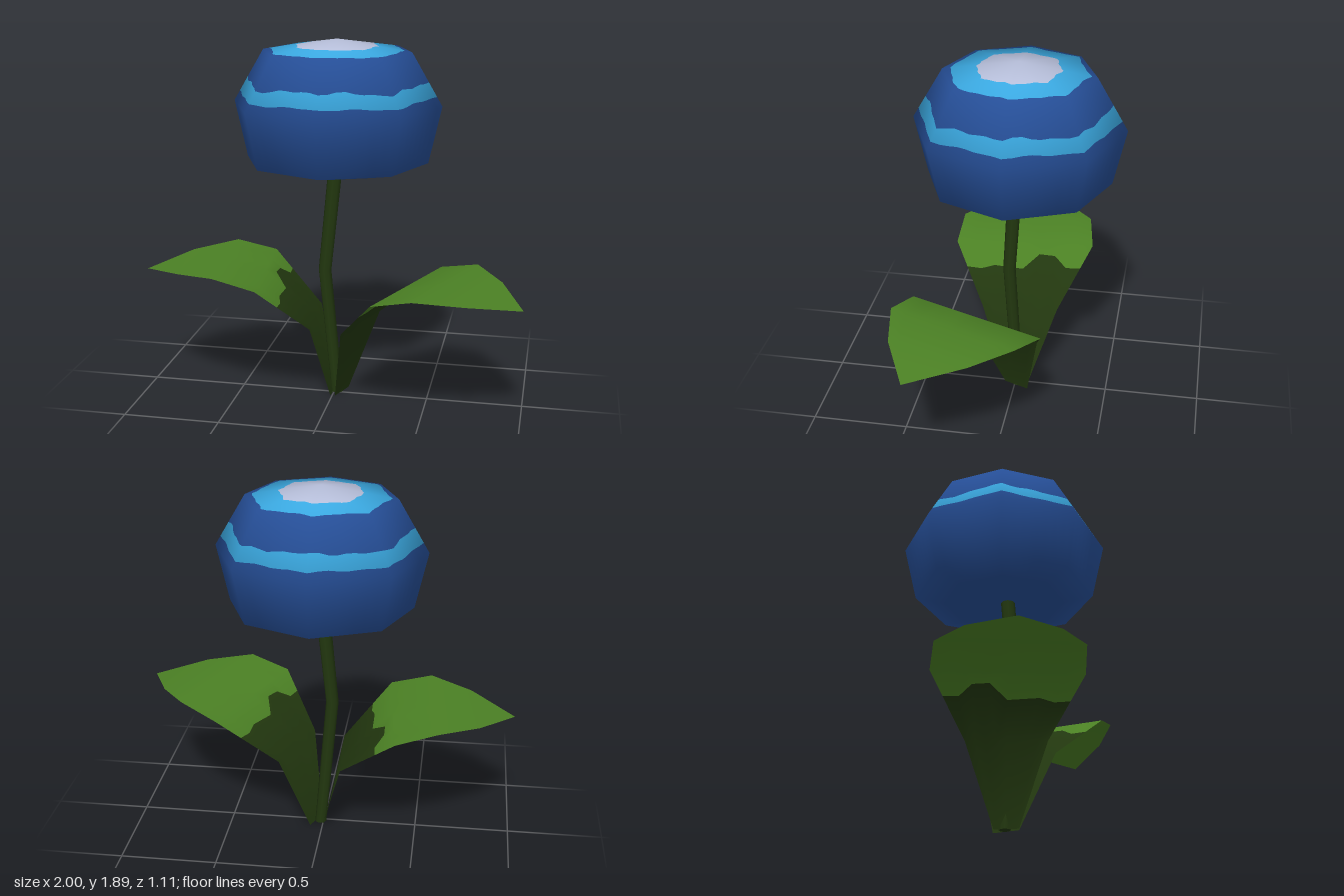
import * as THREE from 'three';

const mat = (name, color, side = THREE.FrontSide) => {
  const m = new THREE.MeshStandardMaterial({ color, side });
  m.name = name;
  return m;
};
const V = (x, y, z) => new THREE.Vector3(x, y, z);

// Eight-sided flower head; colour seams slide along the facets with a ragged wave
function makeBloom(materials) {
  const base = [[0, 1.235], [0.3, 1.235], [0.47, 1.275], [0.535, 1.565], [0.509, 1.61],
    [0.468, 1.68], [0.38, 1.83], [0.355, 1.834], [0.215, 1.856], [0, 1.89]];
  const rows = base.length, segs = 64;
  const geo = new THREE.LatheGeometry(base.map(p => new THREE.Vector2(...p)), segs);
  const pos = geo.attributes.position, nor = geo.attributes.normal;
  // seam row: lower row, upper row, fraction, ragged amount
  const seams = { 4: [3, 6, 0.17, 0.03], 5: [3, 6, 0.43, 0.06], 7: [6, 9, 0.075, 0.035], 8: [6, 9, 0.43, 0.03] };
  const wave = (a, k) => 0.5 * Math.cos(4 * a) + 0.3 * Math.sin(9 * a + k) + 0.3 * Math.sin(17 * a + 2 * k);
  const a = V(), b = V();
  for (let i = 0; i <= segs; i++) {
    const phi = (i / segs) * Math.PI * 2;
    const local = (phi % (Math.PI / 4)) - Math.PI / 8;
    const oct = Math.cos(Math.PI / 8) / Math.cos(local);
    const at = j => i * rows + j;
    nor.setXYZ(at(rows - 1), 0, 1, 0);
    for (let j = 0; j < rows; j++) pos.setXYZ(at(j), pos.getX(at(j)) * oct, pos.getY(at(j)), pos.getZ(at(j)) * oct);
    for (const [j, [lo, hi, t, rag]] of Object.entries(seams)) {
      const f = t + rag * wave(phi, +j);
      for (const attr of [pos, nor]) {
        a.fromBufferAttribute(attr, at(lo)).lerp(b.fromBufferAttribute(attr, at(hi)), f);
        if (attr === nor) a.normalize();
        attr.setXYZ(at(+j), a.x, a.y, a.z);
      }
    }
  }
  // faces regrouped ring by ring so each ring can take its own colour
  const ringColour = [0, 0, 0, 0, 1, 0, 0, 1, 2];
  const index = [];
  ringColour.forEach((colour, j) => {
    const start = index.length;
    for (let i = 0; i < segs; i++) {
      const p = i * rows + j, q = p + rows;
      index.push(p, q, p + 1, q + 1, p + 1, q);
    }
    geo.addGroup(start, index.length - start, colour);
  });
  geo.setIndex(index);
  geo.translate(0.01, 0, -0.02);
  return new THREE.Mesh(geo, materials);
}

// Curved leaf lofted between two edges, dark near the stem with a ragged seam
function makeLeaf(edges, materials) {
  const ragged = [0.6, 0.58, 0.64, 0.62, 0.6, 0.84, 0.82, 0.64, 0.64];
  const cols = ragged.length;
  const grid = edges.map(([p, q]) => ragged.map((_, c) => V(...p).lerp(V(...q), c / (cols - 1))));
  grid.splice(2, 0, ragged.map((t, c) => grid[1][c].clone().lerp(grid[2][c], t)));
  const geo = new THREE.BufferGeometry().setFromPoints(grid.flat());
  const index = [];
  for (let r = 0; r < grid.length - 1; r++) {
    for (let c = 0; c < cols - 1; c++) {
      const p = r * cols + c, q = p + cols;
      index.push(p, p + 1, q);
      if (r < grid.length - 2) index.push(p + 1, q + 1, q);
    }
  }
  geo.setIndex(index);
  const darkCount = 2 * (cols - 1) * 6;
  geo.addGroup(0, darkCount, 0);
  geo.addGroup(darkCount, index.length - darkCount, 1);
  geo.computeVertexNormals();
  // the tip's last corner belongs to no face, so it copies its neighbour
  const n = geo.attributes.normal, last = n.count - 1;
  n.setXYZ(last, n.getX(last - 1), n.getY(last - 1), n.getZ(last - 1));
  return new THREE.Mesh(geo, materials);
}

// Stem with one bend, following three centre points
function makeStem(material) {
  const centres = [V(0.015, 0, -0.015), V(-0.04, 0.7, 0.04), V(0.008, 1.25, 0)];
  const geo = new THREE.CylinderGeometry(0.037, 0.03, 2, 8, 2);
  const pos = geo.attributes.position;
  for (let i = 0; i < pos.count; i++) {
    const c = centres[Math.round(pos.getY(i) + 1)];
    pos.setXYZ(i, pos.getX(i) + c.x, c.y, pos.getZ(i) + c.z);
  }
  return new THREE.Mesh(geo, material);
}

export function createModel() {
  const darkBlue = mat('darkBlue', 0x264f98);
  const lightBlue = mat('lightBlue', 0x3aa8e0);
  const paleCentre = mat('paleCentre', 0xb5bdd8);
  const darkGreen = mat('darkGreen', 0x22370f, THREE.DoubleSide);
  const leafGreen = mat('leafGreen', 0x4b8024, THREE.DoubleSide);

  const group = new THREE.Group();
  group.name = 'flower';
  const add = (name, mesh) => { mesh.name = name; group.add(mesh); };

  add('bloom', makeBloom([darkBlue, lightBlue, paleCentre]));
  add('stem', makeStem(darkGreen));

  // edge pairs from root to tip
  add('leftLeaf', makeLeaf([
    [[0.065, 0, -0.075], [0.015, 0, 0.055]],
    [[0.22, 0.42, -0.15], [0.08, 0.42, 0.24]],
    [[0.54, 0.67, -0.215], [0.27, 0.67, 0.49]],
    [[0.74, 0.725, -0.12], [0.48, 0.725, 0.55]],
    [[0.88, 0.7, 0.08], [0.73, 0.7, 0.5]],
    [[1, 0.655, 0.37], [1, 0.655, 0.37]],
  ], [darkGreen, leafGreen]));
  add('rightLeaf', makeLeaf([
    [[-0.01, 0, 0.055], [0, 0, -0.07]],
    [[-0.09, 0.42, 0.2], [-0.11, 0.42, -0.21]],
    [[-0.33, 0.67, 0.385], [-0.4, 0.67, -0.365]],
    [[-0.55, 0.725, 0.385], [-0.61, 0.725, -0.33]],
    [[-0.77, 0.7, 0.27], [-0.82, 0.7, -0.175]],
    [[-1, 0.655, 0.07], [-1, 0.655, 0.07]],
  ], [darkGreen, leafGreen]));
  return group;
}
